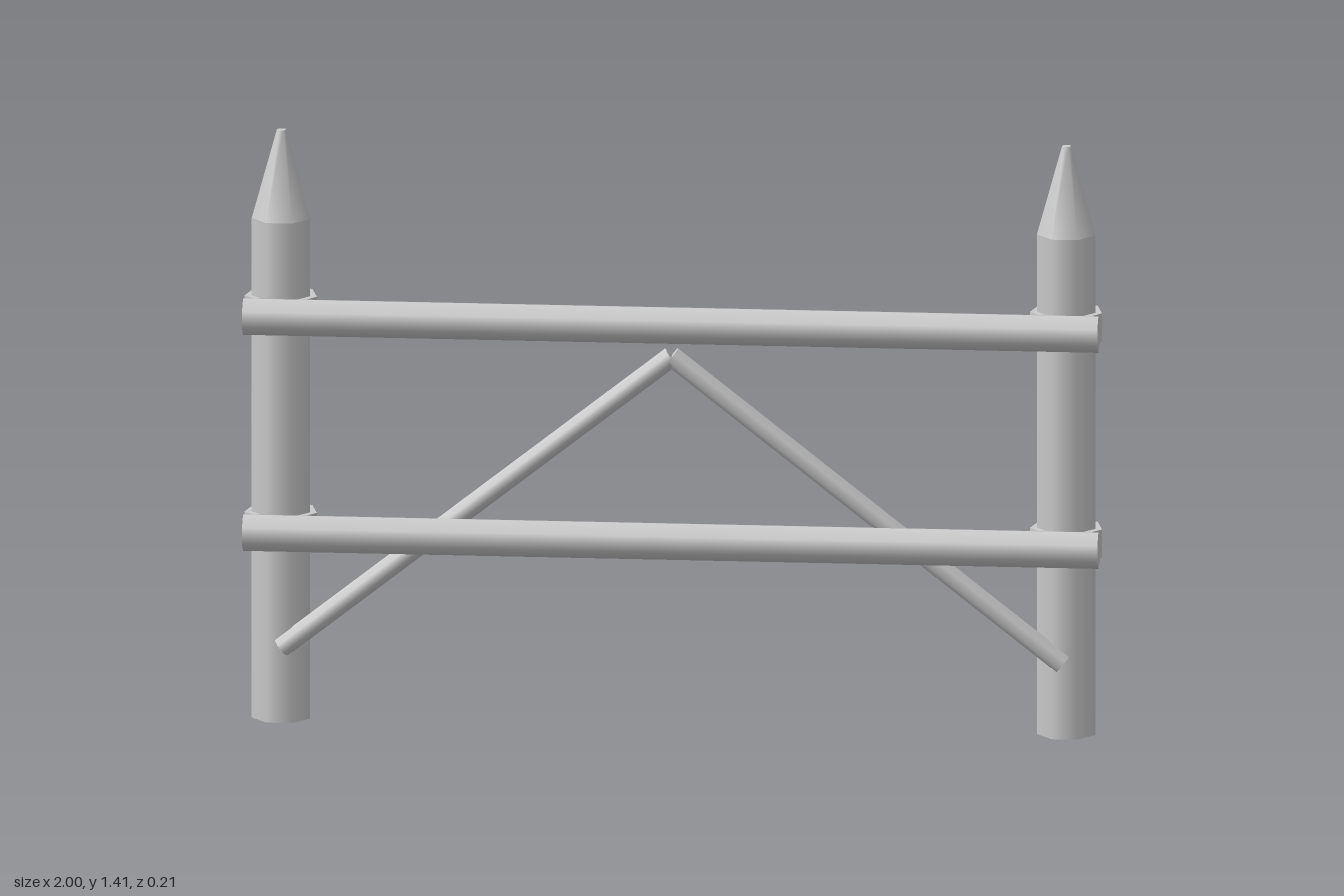
import * as THREE from 'three';

const SIDES = 7;

export function createModel() {
  const group = new THREE.Group();
  const smooth = new THREE.MeshStandardMaterial({ color: 0xcccccc });
  const faceted = new THREE.MeshStandardMaterial({ color: 0xcccccc, flatShading: true });

  // Seven-sided log, one corner pointing to the back
  function log(name, rTop, rBottom, height, x, y, z, material = smooth, open = false) {
    const geometry = new THREE.CylinderGeometry(rTop, rBottom, height, SIDES, 1, open, Math.PI);
    const mesh = new THREE.Mesh(geometry, material);
    mesh.name = name;
    mesh.position.set(x, y, z);
    group.add(mesh);
    return mesh;
  }

  const railHeights = [0.462, 0.981];
  const postX = 0.918, postZ = -0.016;

  for (const [side, s] of [['left', 1], ['right', -1]]) {
    // Upright post with sharpened top
    log(side + 'Post', 0.07, 0.07, 1.2, s * postX, 0.6, postZ);
    log(side + 'PostTip', 0.011, 0.07, 0.21, s * postX, 1.305, postZ);

    // Bindings around the post at each rail
    railHeights.forEach((y, i) =>
      log(side + (i ? 'Upper' : 'Lower') + 'Binding', 0.0866, 0.0866, 0.067, s * postX, y, postZ, faceted));

    // Diagonal brace from the foot of the post to the middle
    const foot = new THREE.Vector2(s * 0.914, 0.18), apex = new THREE.Vector2(0, 0.9);
    const run = apex.clone().sub(foot), mid = foot.clone().add(apex).multiplyScalar(0.5);
    const brace = log(side + 'Brace', 0.025, 0.025, run.length(), mid.x, mid.y, 0.04);
    brace.rotation.z = run.angle() - Math.PI / 2;
  }

  // Horizontal rails across the front
  railHeights.forEach((y, i) => {
    log(i ? 'upperRail' : 'lowerRail', 0.0445, 0.0445, 2, 0, y, 0.065).rotation.z = Math.PI / 2;
  });

  return group;
}
